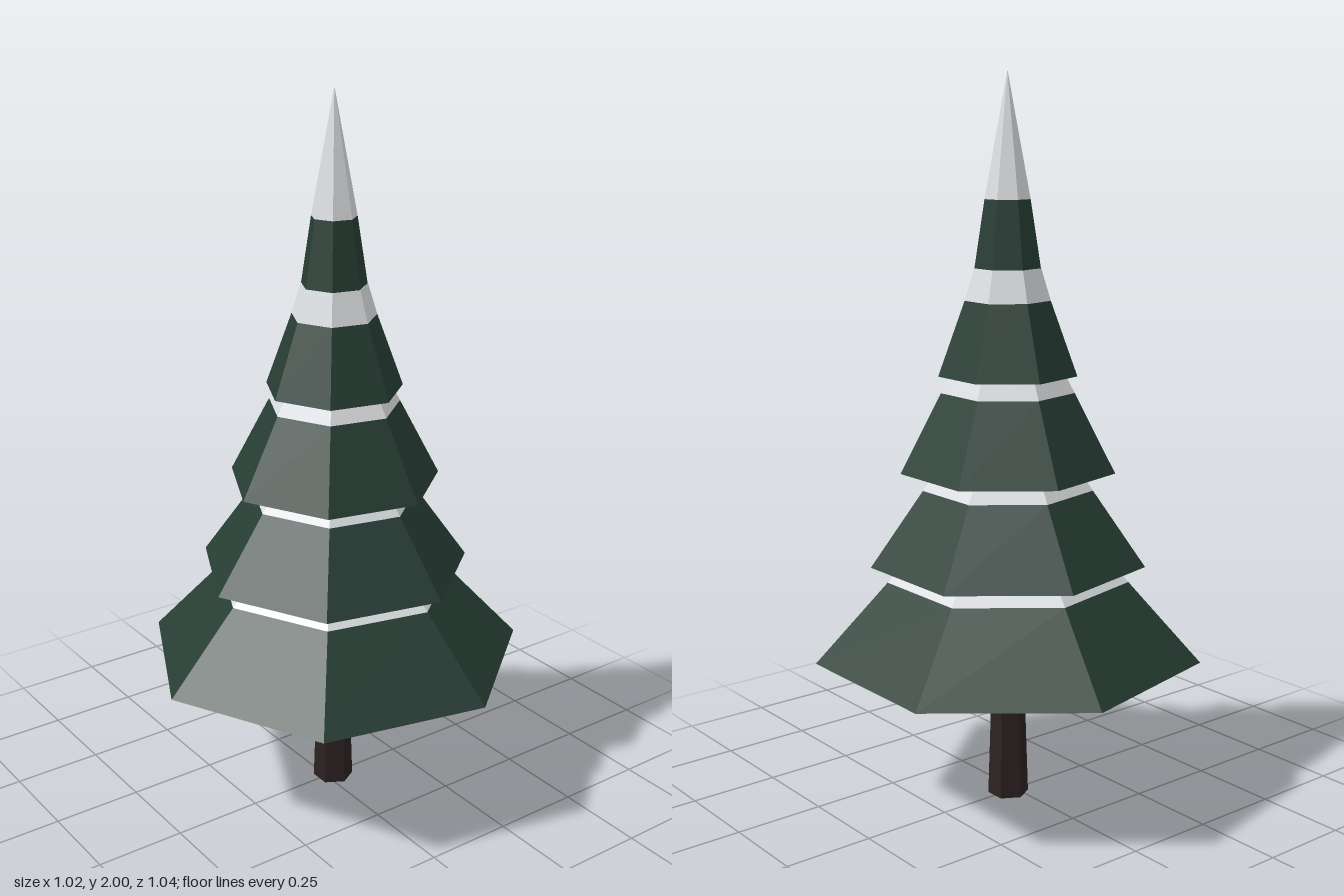
import * as THREE from 'three';

const material = (name, color) => {
  const m = new THREE.MeshStandardMaterial({ color, flatShading: true });
  m.name = name;
  return m;
};

export function createModel() {
  const green = material('pine green', 0x273d34);
  const snow = material('snow', 0xdcdfe2);
  const bark = material('dark bark', 0x2c2121);

  const tree = new THREE.Group();
  tree.name = 'snowyPine';

  // Tapered ring from y0 to y1, closed at both ends
  const addTaper = (name, mat, sides, start, y0, r0, y1, r1) => {
    const geometry = new THREE.CylinderGeometry(r1, r0, y1 - y0, sides, 1, false, start);
    const mesh = new THREE.Mesh(geometry, mat);
    mesh.name = name;
    mesh.position.set(0.025, (y0 + y1) / 2, 0);
    tree.add(mesh);
  };

  // Six-sided trunk
  addTaper('trunk', bark, 6, 0, 0, 0.057, 0.43, 0.043);

  // Seven-sided tiers: bottom y and radius, snow line, top
  const tiers = [
    [0.425, 0.535, 0.64, 0.335, 0.685, 0.293],
    [0.685, 0.38, 0.89, 0.235, 0.94, 0.2],
    [0.94, 0.295, 1.155, 0.183, 1.2, 0.159],
    [1.2, 0.19, 1.4, 0.117, 1.485, 0.091],
    [1.485, 0.09, 1.665, 0.062, 1.995, 0],
  ];
  tiers.forEach(([y0, r0, y1, r1, y2, r2], i) => {
    addTaper(`branchTier${i + 1}`, green, 7, -Math.PI / 2, y0, r0, y1, r1);
    const name = r2 === 0 ? 'snowTip' : `snowBand${i + 1}`;
    addTaper(name, snow, 7, -Math.PI / 2, y1, r1, y2, r2);
  });

  return tree;
}
